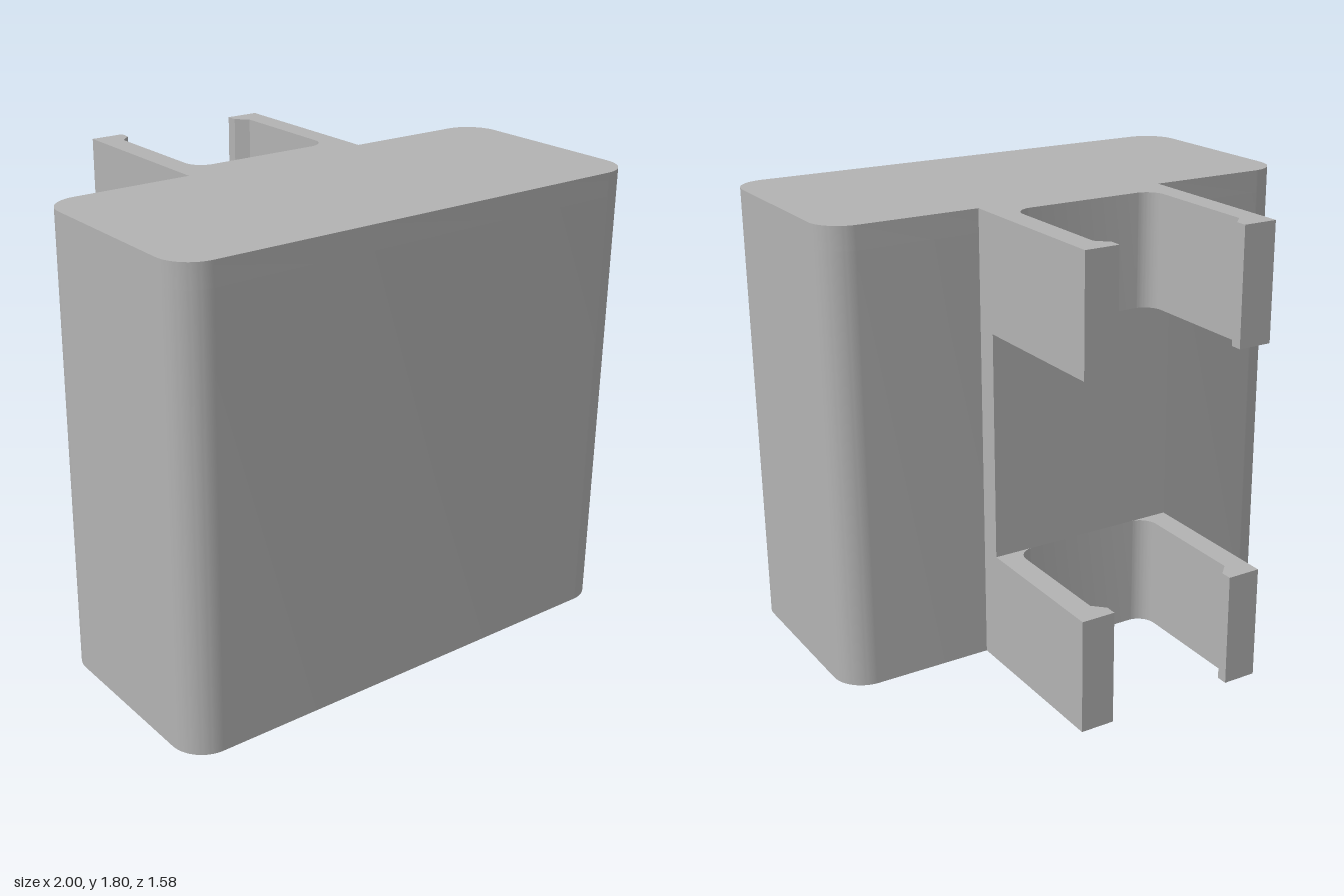
import * as THREE from 'three';
import { toCreasedNormals } from 'three/addons/utils/BufferGeometryUtils.js';

const HEIGHT = 1.8;
const WALL = 0.09;
const FRONT = 0.79;
const BACK = -0.085;   // back face of the housing
const WEB = -0.175;    // back face of the clip web
const TIP = -0.79;     // end of the clip arms

// Rounded rectangle in plan; shape y is -z
function roundedRect(path, x, y0, y1, r) {
  path.moveTo(-x + r, y0);
  path.lineTo(x - r, y0);
  path.absarc(x - r, y0 + r, r, -Math.PI / 2, 0);
  path.lineTo(x, y1 - r);
  path.absarc(x - r, y1 - r, r, 0, Math.PI / 2);
  path.lineTo(-x + r, y1);
  path.absarc(-x + r, y1 - r, r, Math.PI / 2, Math.PI);
  path.lineTo(-x, y0 + r);
  path.absarc(-x + r, y0 + r, r, Math.PI, Math.PI * 1.5);
  return path;
}

// Plan shape raised from y0 to y1
function raise(shape, y0, y1) {
  const geo = new THREE.ExtrudeGeometry(shape, { depth: y1 - y0, bevelEnabled: false, curveSegments: 12 });
  geo.rotateX(-Math.PI / 2);
  geo.translate(0, y0, 0);
  return toCreasedNormals(geo, Math.PI / 6);
}

// U-shaped clip with inward hooked lips and filleted inner corners
function clipShape() {
  const out = 0.395, inn = 0.305, lip = 0.26, r = 0.075;
  const s = new THREE.Shape();
  s.moveTo(-out, -BACK);
  s.lineTo(out, -BACK);
  s.lineTo(out, -TIP);
  s.lineTo(lip, -TIP);
  s.lineTo(lip, 0.745);
  s.lineTo(inn, 0.7);
  s.lineTo(inn, -WEB + r);
  s.absarc(inn - r, -WEB + r, r, 0, -Math.PI / 2, true);
  s.lineTo(-inn + r, -WEB);
  s.absarc(-inn + r, -WEB + r, r, -Math.PI / 2, -Math.PI, true);
  s.lineTo(-inn, 0.7);
  s.lineTo(-lip, 0.745);
  s.lineTo(-lip, -TIP);
  s.lineTo(-out, -TIP);
  s.closePath();
  return s;
}

export function createModel() {
  const model = new THREE.Group();
  model.name = 'clipOnHousing';
  const grey = new THREE.MeshStandardMaterial({ color: 0xb3b3b3 });
  grey.name = 'grey';

  const add = (name, geo) => {
    const mesh = new THREE.Mesh(geo, grey);
    mesh.name = name;
    model.add(mesh);
    return mesh;
  };

  // Housing: walls open at the bottom, closed by the top
  const outer = () => roundedRect(new THREE.Shape(), 1, -FRONT, -BACK, 0.13);
  const ring = outer();
  ring.holes.push(roundedRect(new THREE.Path(), 1 - WALL, -FRONT + WALL, -BACK - WALL, 0.05));
  add('housingWalls', raise(ring, 0, HEIGHT - WALL));
  add('housingTop', raise(outer(), HEIGHT - WALL, HEIGHT));

  // Clips at the bottom and top of the back
  const clip = clipShape();
  add('lowerClip', raise(clip, 0, 0.45));
  add('upperClip', raise(clip, 1.35, HEIGHT));

  // Web joining the two clips
  const web = add('clipWeb', new THREE.BoxGeometry(0.79, 0.9, BACK - WEB));
  web.position.set(0, 0.9, (BACK + WEB) / 2);

  return model;
}
